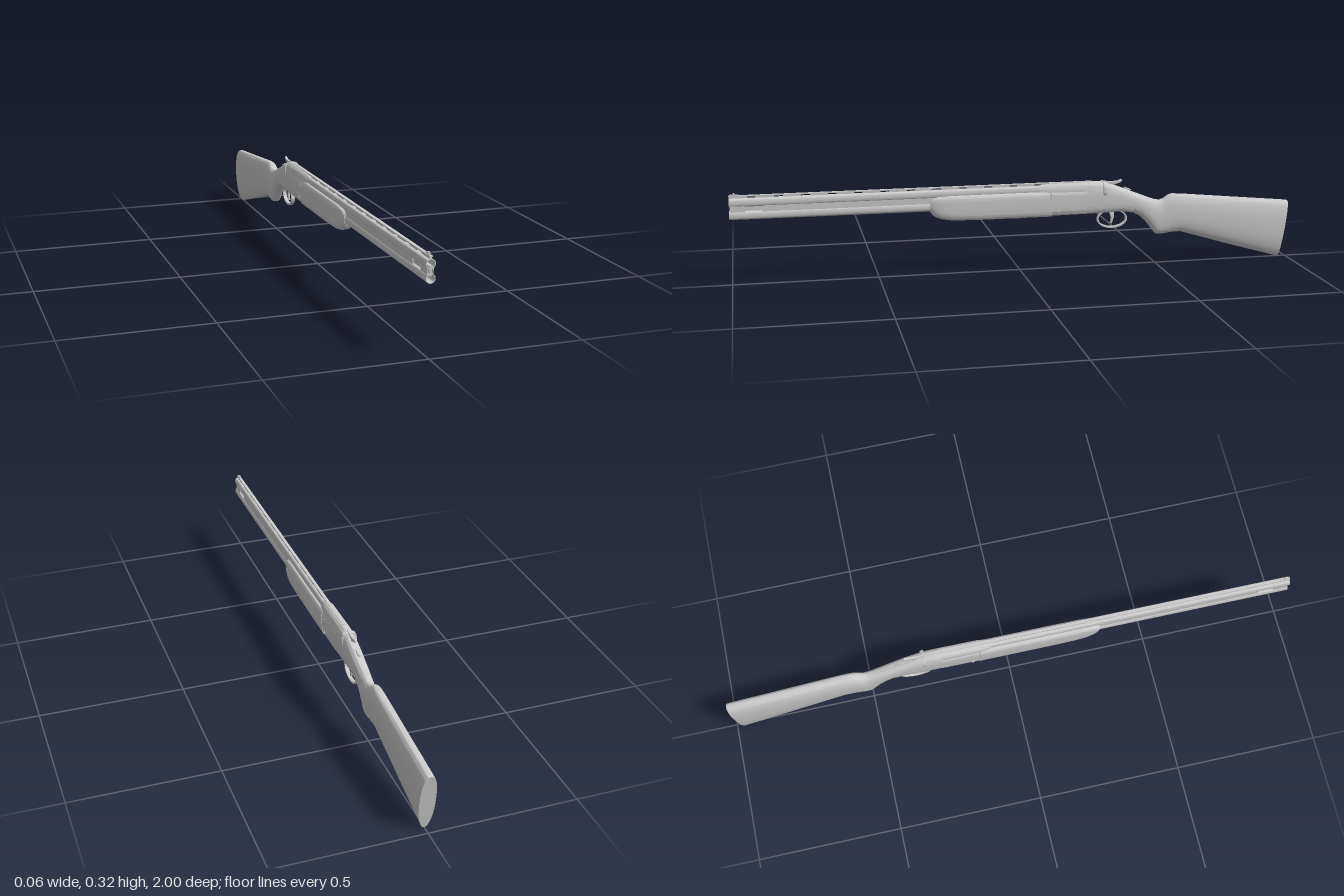
import * as THREE from 'three';
import { toCreasedNormals } from 'three/addons/utils/BufferGeometryUtils.js';

const material = new THREE.MeshStandardMaterial({ color: 0xcccccc, side: THREE.DoubleSide });

function add(group, name, geometry, x = 0, y = 0, z = 0) {
  const mesh = new THREE.Mesh(geometry, material);
  mesh.name = name;
  mesh.position.set(x, y, z);
  group.add(mesh);
  return mesh;
}

// Superellipse loft running towards -z.
// Station: [top z, top y, bottom z, bottom y, half width, top exponent, bottom exponent]
function loft(stations, sides = 40) {
  const pos = [], index = [];
  const power = (v, n) => Math.sign(v) * Math.abs(v) ** (2 / n);
  for (const [zt, yt, zb, yb, w, nt, nb] of stations) {
    for (let j = 0; j < sides; j++) {
      const a = (j / sides) * Math.PI * 2;
      const n = Math.sin(a) >= 0 ? nt : nb;
      const t = (power(Math.sin(a), n) + 1) / 2;
      pos.push(w * power(Math.cos(a), n), yb + (yt - yb) * t, zb + (zt - zb) * t);
    }
  }
  const last = stations.length - 1;
  for (let i = 0; i < last; i++) {
    for (let j = 0; j < sides; j++) {
      const a = i * sides + j, b = i * sides + (j + 1) % sides;
      index.push(a, a + sides, b, b, a + sides, b + sides);
    }
  }
  // end caps
  for (const i of [0, last]) {
    const [zt, yt, zb, yb] = stations[i];
    const centre = pos.length / 3;
    pos.push(0, (yt + yb) / 2, (zt + zb) / 2);
    for (let j = 0; j < sides; j++) {
      const a = i * sides + j, b = i * sides + (j + 1) % sides;
      if (i === 0) index.push(centre, a, b);
      else index.push(centre, b, a);
    }
  }
  const geometry = new THREE.BufferGeometry();
  geometry.setAttribute('position', new THREE.Float32BufferAttribute(pos, 3));
  geometry.setIndex(index);
  return toCreasedNormals(geometry, 0.65);
}

// Side profile (points as [z, y]) extruded across x and centred
function sidePlate(shape, width, bevel = 0) {
  const geometry = new THREE.ExtrudeGeometry(shape, {
    depth: width, curveSegments: 32, bevelEnabled: bevel > 0,
    bevelSize: bevel, bevelThickness: bevel, bevelSegments: 2,
  });
  geometry.translate(0, 0, -width / 2);
  geometry.rotateY(Math.PI / 2);
  return toCreasedNormals(geometry, 0.6);
}
const profile = (points) => new THREE.Shape(points.map(([z, y]) => new THREE.Vector2(-z, y)));

// Hollow barrel, muzzle at z = 1
function barrel(length) {
  const r = 0.0152, bore = 0.0125;
  const points = [[0, -0.12], [bore, -0.12], [bore, 0], [r, 0], [r, -length], [0, -length]]
    .map(([x, y]) => new THREE.Vector2(x, y)).reverse();
  return toCreasedNormals(new THREE.LatheGeometry(points, 32).rotateX(Math.PI / 2), 0.6);
}

export function createModel() {
  const model = new THREE.Group();
  model.name = 'doubleBarrelShotgun';

  // Barrels, joining ribs and ventilated top rib
  const barrels = new THREE.Group();
  barrels.name = 'barrels';
  model.add(barrels);
  add(barrels, 'upperBarrel', barrel(1.2), 0, 0.287, 1);
  add(barrels, 'lowerBarrel', barrel(1.2), 0, 0.243, 1);
  for (const s of [-1, 1]) {
    add(barrels, 'sideRib', new THREE.BoxGeometry(0.003, 0.026, 0.66), s * 0.0085, 0.265, 0.56);
    add(barrels, 'muzzleSideRib', new THREE.BoxGeometry(0.003, 0.026, 0.05), s * 0.0085, 0.265, 0.972);
  }
  add(barrels, 'ribCore', new THREE.BoxGeometry(0.008, 0.03, 1.1), 0, 0.265, 0.448);
  add(barrels, 'topRib', new THREE.BoxGeometry(0.011, 0.004, 1.26), 0, 0.309, 0.37);
  for (let i = 0; i < 14; i++) {
    add(barrels, 'ribPost', new THREE.BoxGeometry(0.008, 0.008, 0.06), 0, 0.304, 0.968 - i * 0.09);
  }
  add(barrels, 'frontSightBase', new THREE.BoxGeometry(0.006, 0.005, 0.03), 0, 0.312, 0.98);
  add(barrels, 'frontSightBead', new THREE.SphereGeometry(0.0035, 16, 10), 0, 0.3165, 0.982);

  // Barrel block at the breech
  add(model, 'breechBlock', loft([
    [-0.07, 0.303, -0.07, 0.255, 0.0165, 2.2, 4],
    [-0.11, 0.309, -0.11, 0.25, 0.0215, 2.3, 4],
    [-0.25, 0.309, -0.25, 0.25, 0.0225, 2.3, 4],
  ]));

  // Fore-end with rounded tip
  add(model, 'foreEnd', loft([
    [0.320, 0.262, 0.318, 0.225, 0.0165, 4, 2.5],
    [0.315, 0.269, 0.310, 0.213, 0.0195, 4, 2.8],
    [0.305, 0.275, 0.296, 0.204, 0.0225, 4, 3],
    [0.288, 0.279, 0.275, 0.197, 0.025, 4.5, 3.3],
    [0.25, 0.281, 0.24, 0.192, 0.0262, 5, 3.6],
    [0.15, 0.281, 0.15, 0.190, 0.0268, 5, 3.8],
    [-0.105, 0.281, -0.115, 0.190, 0.0268, 5, 4],
  ]));
  const latch = add(model, 'foreEndLatch', new THREE.SphereGeometry(1, 24, 12), 0, 0.1905, 0.0);
  latch.scale.set(0.009, 0.003, 0.028);

  // Receiver
  add(model, 'receiver', loft([
    [-0.108, 0.282, -0.112, 0.193, 0.0255, 6, 4],
    [-0.235, 0.283, -0.235, 0.194, 0.0257, 5, 4],
    [-0.245, 0.31, -0.245, 0.194, 0.0257, 2.6, 4],
    [-0.29, 0.309, -0.29, 0.195, 0.0257, 2.5, 4],
    [-0.33, 0.298, -0.33, 0.196, 0.0253, 2.5, 3.8],
    [-0.375, 0.281, -0.375, 0.197, 0.0245, 2.5, 3.5],
    [-0.42, 0.262, -0.41, 0.19, 0.0235, 2.4, 3],
  ]));
  add(model, 'breechFence', loft([
    [-0.298, 0.309, -0.298, 0.255, 0.027, 2.6, 4],
    [-0.303, 0.308, -0.303, 0.255, 0.028, 2.6, 4],
    [-0.311, 0.305, -0.311, 0.255, 0.027, 2.6, 4],
  ]));
  for (const s of [-1, 1]) {
    for (const [z, y, r] of [[-0.135, 0.215, 0.007], [-0.105, 0.262, 0.004], [-0.13, 0.262, 0.003]]) {
      const pin = add(model, 'hingePin', new THREE.CylinderGeometry(r, r, 0.003, 20), s * 0.0258, y, z);
      pin.rotation.z = Math.PI / 2;
    }
  }

  // Top lever and safety catch
  add(model, 'topLever', sidePlate(profile([
    [-0.295, 0.311], [-0.295, 0.300], [-0.335, 0.288], [-0.345, 0.297],
    [-0.362, 0.301], [-0.372, 0.309], [-0.368, 0.313], [-0.356, 0.307], [-0.325, 0.305],
  ]), 0.006, 0.001));
  const safety = add(model, 'safetyCatch', new THREE.BoxGeometry(0.008, 0.006, 0.025), 0, 0.277, -0.392);
  safety.rotation.x = -0.4;

  // Trigger guard ring and trigger
  const guard = new THREE.Shape().absellipse(0.336, 0.171, 0.055, 0.034, 0, Math.PI * 2);
  guard.holes.push(new THREE.Path().absellipse(0.336, 0.172, 0.0505, 0.0295, 0, Math.PI * 2, true));
  add(model, 'triggerGuard', sidePlate(guard, 0.012, 0.0005));
  add(model, 'trigger', sidePlate(profile([
    [-0.325, 0.2], [-0.333, 0.175], [-0.330, 0.155], [-0.335, 0.154], [-0.342, 0.174], [-0.343, 0.2],
  ]), 0.006, 0.0008));

  // Stock: wrist, pistol grip, comb and butt
  add(model, 'stock', loft([
    [-0.39, 0.273, -0.385, 0.198, 0.0236, 2.4, 3],
    [-0.42, 0.263, -0.41, 0.192, 0.0235, 2.3, 2.7],
    [-0.45, 0.251, -0.44, 0.175, 0.0235, 2.2, 2.5],
    [-0.475, 0.241, -0.463, 0.153, 0.0235, 2.2, 2.5],
    [-0.497, 0.234, -0.483, 0.127, 0.0237, 2.2, 2.6],
    [-0.513, 0.232, -0.497, 0.109, 0.0243, 2.2, 2.7],
    [-0.528, 0.238, -0.513, 0.106, 0.0248, 2.2, 2.7],
    [-0.543, 0.249, -0.535, 0.108, 0.0252, 2.2, 2.6],
    [-0.557, 0.253, -0.555, 0.111, 0.0255, 2.3, 2.5],
    [-0.59, 0.251, -0.59, 0.112, 0.0258, 2.4, 2.3],
    [-0.62, 0.248, -0.617, 0.104, 0.026, 2.4, 2.2],
    [-0.80, 0.230, -0.785, 0.053, 0.0265, 2.5, 2.1],
    [-0.992, 0.211, -0.962, 0.002, 0.027, 2.6, 2],
    [-1, 0.209, -0.97, 0, 0.0265, 2.6, 2],
  ]));

  return model;
}
